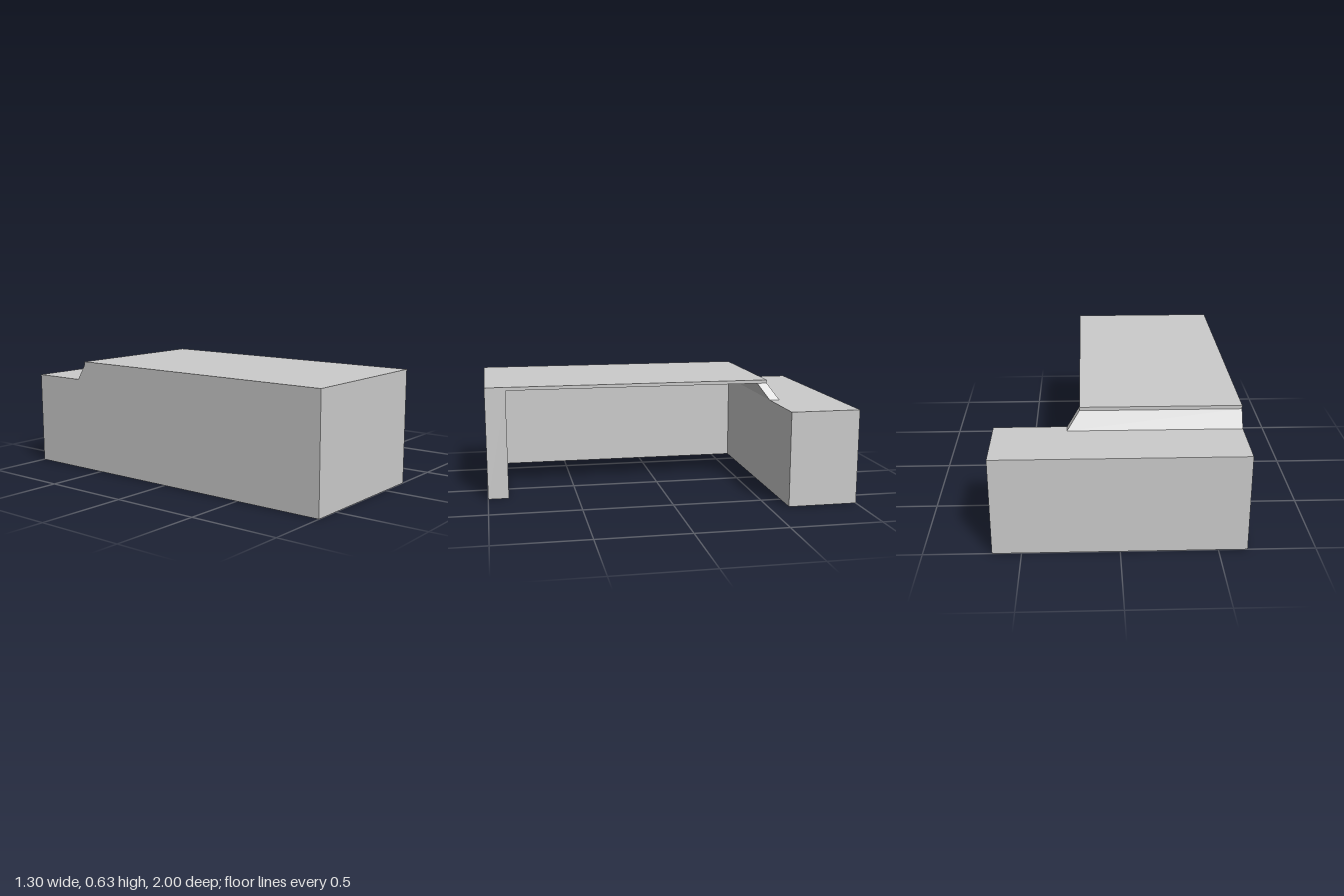
import * as THREE from 'three';

const material = new THREE.MeshStandardMaterial({ color: 0xcccccc, flatShading: true });

// Adds a box given by its minimum and maximum corners
function addBox(group, name, [x0, y0, z0], [x1, y1, z1]) {
  const geometry = new THREE.BoxGeometry(x1 - x0, y1 - y0, z1 - z0);
  geometry.translate((x0 + x1) / 2, (y0 + y1) / 2, (z0 + z1) / 2);
  const mesh = new THREE.Mesh(geometry, material);
  mesh.name = name;
  group.add(mesh);
  return mesh;
}

export function createModel() {
  const group = new THREE.Group();
  group.name = 'cornerDesk';

  const side = -0.65, deskEnd = 0.2, cabinetFront = -0.613;
  const cabinetTop = 0.525, slabBottom = 0.614, slabTop = 0.633;
  const legBack = 0.885, wallThickness = 0.018;

  // Low cabinet across the back, and the raised desk top with its front leg
  addBox(group, 'cabinet', [side, 0, -1], [0.65, cabinetTop, cabinetFront]);
  addBox(group, 'deskTop', [side, slabBottom, cabinetFront], [deskEnd, slabTop, 1]);
  addBox(group, 'frontLeg', [side, 0, legBack], [deskEnd, slabBottom, 1]);

  // Slanted support: its upper end leans forward and is shorter than its foot
  const support = addBox(group, 'slantedSupport',
    [side, cabinetTop, -0.67], [0.265, slabBottom, cabinetFront]);
  const p = support.geometry.attributes.position;
  for (let i = 0; i < p.count; i++) {
    if (p.getY(i) < 0.57) continue;
    p.setZ(i, p.getZ(i) + 0.057);
    if (p.getX(i) > 0) p.setX(i, deskEnd);
  }
  support.geometry.computeVertexNormals();

  // Thin side panel closing the desk between leg and cabinet, cut to meet the support
  const outline = new THREE.Shape([
    [-legBack, 0], [-cabinetFront, 0], [-cabinetFront, cabinetTop],
    [-cabinetFront - 0.057, slabBottom], [-legBack, slabBottom],
  ].map(([a, y]) => new THREE.Vector2(a, y)));
  const panel = new THREE.ExtrudeGeometry(outline, { depth: wallThickness, bevelEnabled: false });
  panel.rotateY(Math.PI / 2);
  panel.translate(side, 0, 0);
  const sidePanel = new THREE.Mesh(panel, material);
  sidePanel.name = 'sidePanel';
  group.add(sidePanel);

  return group;
}
